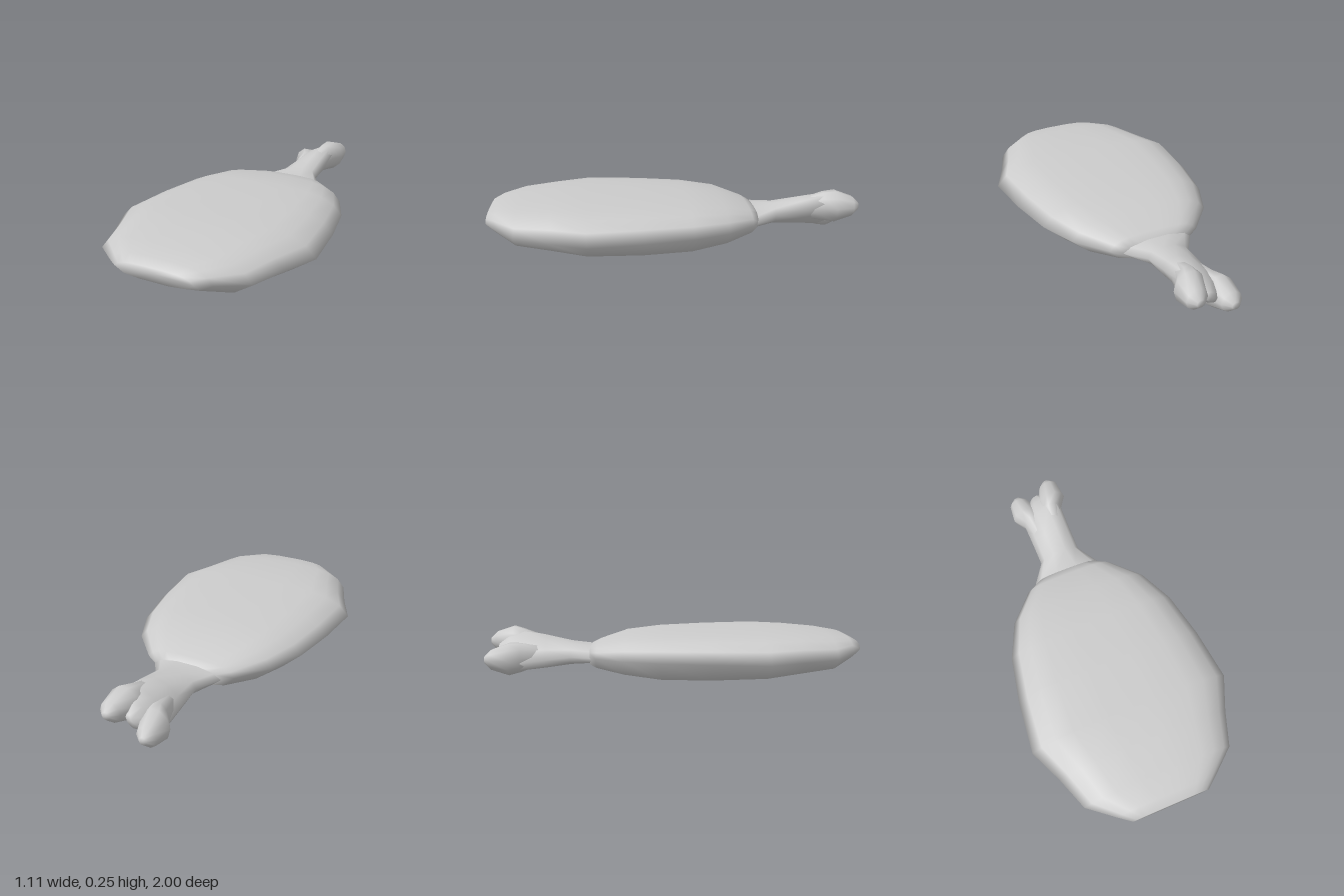
import * as THREE from 'three';

const material = new THREE.MeshStandardMaterial({ color: 0xcccccc });

// Skin a list of rings (each counter-clockwise seen from +z) that runs from +z to -z
function loft(name, rings) {
  const n = rings[0].length, pos = [], index = [];
  rings.forEach(r => r.forEach(p => pos.push(...p)));
  for (let i = 0; i < rings.length - 1; i++) {
    for (let j = 0; j < n; j++) {
      const a = i * n + j, b = i * n + (j + 1) % n, c = a + n, d = b + n;
      index.push(a, c, b, b, c, d);
    }
  }
  // Close both ends with a fan around the ring centre
  [0, rings.length - 1].forEach(i => {
    const centre = pos.length / 3;
    [0, 1, 2].forEach(k => pos.push(rings[i].reduce((s, p) => s + p[k], 0) / n));
    for (let j = 0; j < n; j++) {
      const a = i * n + j, b = i * n + (j + 1) % n;
      if (i === 0) index.push(centre, a, b);
      else index.push(centre, b, a);
    }
  });
  const geometry = new THREE.BufferGeometry();
  geometry.setAttribute('position', new THREE.Float32BufferAttribute(pos, 3));
  geometry.setIndex(index);
  geometry.computeVertexNormals();
  const mesh = new THREE.Mesh(geometry, material);
  mesh.name = name;
  return mesh;
}

// Oval ring; shear lifts the +x side and lowers the -x side
function oval(z, cx, cy, rx, ry, shear = 0, n = 10) {
  return Array.from({ length: n }, (_, i) => {
    const a = (i / n) * Math.PI * 2, x = Math.cos(a) * rx;
    return [cx + x, cy + Math.sin(a) * ry + shear * x, z];
  });
}

// Flattened meat section: fraction of half width, fraction of height above (+) or below (-) the rim
const half = [[1, 0], [0.9, 0.48], [0.75, 0.77], [0.58, 0.9], [0.25, 0.98]];
const under = [[0.37, -1], [0.77, -0.76]];
function meatRing(z, w, bottom, rim, top) {
  const place = ([u, v]) => [u * w, rim + v * (v > 0 ? top - rim : rim - bottom), z];
  const flip = ([u, v]) => [-u, v];
  return [
    ...half, ...half.slice().reverse().map(flip),
    ...under.slice().reverse().map(flip), ...under,
  ].map(place);
}

export function createModel() {
  const group = new THREE.Group();
  group.name = 'drumstick';

  // Meat: z, half width, bottom, rim height, top
  group.add(loft('meat', [
    [1, 0.21, 0.13, 0.165, 0.2],
    [0.95, 0.275, 0.105, 0.155, 0.225],
    [0.84, 0.41, 0.06, 0.14, 0.24],
    [0.66, 0.475, 0.04, 0.137, 0.254],
    [0.48, 0.555, 0.022, 0.137, 0.257],
    [0.2, 0.525, 0.005, 0.137, 0.252],
    [-0.05, 0.475, 0.002, 0.135, 0.243],
    [-0.24, 0.39, 0.022, 0.13, 0.225],
    [-0.39, 0.25, 0.045, 0.12, 0.18],
    [-0.43, 0.18, 0.06, 0.115, 0.162],
  ].map(s => meatRing(...s))));

  // Bone shaft, leaning across its section towards the two knuckles
  group.add(loft('boneShaft', [
    [-0.36, 0, 0.115, 0.2, 0.05, 0],
    [-0.43, 0, 0.113, 0.19, 0.05, 0],
    [-0.54, 0, 0.117, 0.115, 0.06, 0.1],
    [-0.68, 0, 0.123, 0.113, 0.08, 0.3],
    [-0.81, 0, 0.128, 0.113, 0.088, 0.5],
    [-0.88, 0, 0.13, 0.08, 0.07, 0.5],
    [-0.94, 0, 0.13, 0.03, 0.03, 0.5],
  ].map(s => oval(...s))));

  // Two knuckles: the +x one sits high, the -x one low
  [['leftKnuckle', 1], ['rightKnuckle', -1]].forEach(([name, s]) => {
    group.add(loft(name, [
      [-0.7, 0.05, 0.02, 0.045, 0.055],
      [-0.81, 0.06, 0.032, 0.058, 0.082],
      [-0.87, 0.08, 0.037, 0.08, 0.09],
      [-0.965, 0.094, 0.038, 0.056, 0.055],
      [-1, 0.095, 0.038, 0.022, 0.02],
    ].map(([z, x, y, rx, ry]) => oval(z, s * x, 0.13 + s * y, rx, ry))));
  });

  return group;
}
